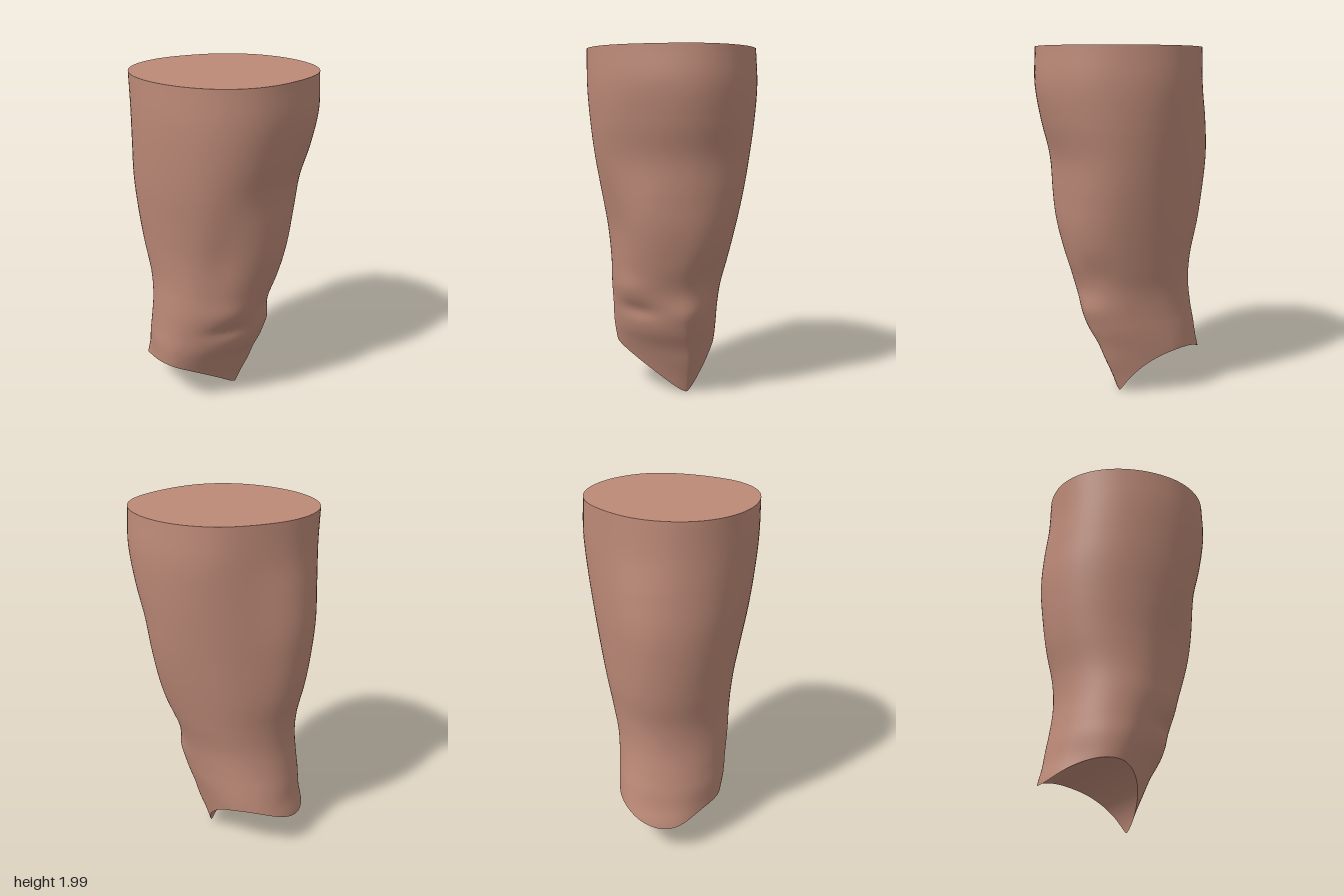
import * as THREE from 'three';
import { mergeVertices } from 'three/addons/utils/BufferGeometryUtils.js';

// Cross-sections: y, left x, right x, front z, back z, x of front/back, z of left end, z of right end, roundness of +x side
const SECTIONS = [
  [-0.05, -0.50, 0.035, 0.28, -0.28, -0.24, 0.00, -0.08, 1.4],
  [0.1, -0.493, 0.095, 0.285, -0.28, -0.23, 0.00, -0.08, 1.4],
  [0.2, -0.486, 0.14, 0.295, -0.28, -0.21, 0.00, -0.08, 1.45],
  [0.3, -0.462, 0.178, 0.315, -0.288, -0.19, 0.00, -0.07, 1.55],
  [0.4, -0.45, 0.225, 0.33, -0.29, -0.17, 0.00, -0.05, 1.7],
  [0.5, -0.435, 0.25, 0.335, -0.29, -0.14, 0.00, -0.03, 1.8],
  [0.65, -0.42, 0.27, 0.345, -0.30, -0.10, 0.00, -0.02, 2],
  [0.8, -0.43, 0.32, 0.35, -0.33, -0.06, 0.00, -0.03, 2],
  [1.0, -0.475, 0.365, 0.37, -0.37, -0.03, -0.01, -0.04, 2],
  [1.2, -0.505, 0.39, 0.405, -0.405, 0.00, -0.02, -0.04, 2],
  [1.4, -0.52, 0.415, 0.44, -0.435, 0.02, -0.03, -0.05, 2],
  [1.6, -0.51, 0.475, 0.465, -0.46, 0.03, -0.02, -0.05, 2],
  [1.8, -0.495, 0.515, 0.48, -0.475, 0.03, 0.02, -0.05, 2],
  [2.0, -0.495, 0.51, 0.48, -0.466, 0.03, 0.05, -0.06, 2],
];
// Soft swellings and hollows: angle (0 = left side, PI/2 = front), y, angular width, height, depth
const BUMPS = [
  [0.8, 0.66, 0.4, 0.07, 0.012], // fold above the knee
  [0.75, 0.53, 0.35, 0.045, -0.018],
  [-0.25, 0.52, 0.45, 0.07, 0.015], // knee bulge
  [-0.5, 0.75, 0.35, 0.1, -0.015],
  [0.5, 1.05, 0.35, 0.25, 0.018], // muscle edge
  [1.15, 1.05, 0.25, 0.25, -0.012],
  [0.45, 1.85, 0.35, 0.4, -0.015],
  [-0.8, 1.25, 0.45, 0.4, 0.024],
  [-2.35, 1.55, 0.42, 0.6, -0.04], // flattened back
  [-2.35, 0.2, 0.45, 0.2, 0.012],
  [2.4, 1.65, 0.5, 0.4, 0.01],
  [2.35, 0.25, 0.4, 0.2, -0.012],
];
const CUT = { x: -0.26, y: -0.04, r: 0.32 }; // round cut under the joint, running along z
const COLS = 96, ROWS = 72;

const sections = new THREE.CubicInterpolant(
  SECTIONS.map((s) => s[0]), SECTIONS.flatMap((s) => s.slice(1)), 8, new Float32Array(8));

// Point of the skin at an angle around the limb and a height
function skin(angle, y) {
  const [xl, xr, zf, zb, xc, zl, zr, p] = sections.evaluate(y);
  const c = Math.cos(angle), s = Math.sin(angle);
  const e = c > 0 ? 2 / p : 1;
  const u = Math.pow(Math.abs(c), e), w = Math.pow(Math.abs(s), e);
  const mid = (zl + zr) / 2 + c * (zr - zl) / 2;
  let x = c > 0 ? xc + (xr - xc) * u : xc + (xl - xc) * u;
  let z = mid + (s > 0 ? zf - mid : mid - zb) * w * Math.sign(s);
  for (const [a, h, da, dy, depth] of BUMPS) {
    const d = Math.atan2(Math.sin(angle - a), Math.cos(angle - a));
    const k = depth * Math.exp(-((d / da) ** 2) - ((y - h) / dy) ** 2);
    x += c * k;
    z += s * k;
  }
  return new THREE.Vector3(x, y, z);
}

const cutHeight = (x) =>
  Math.max(0, CUT.y + Math.sqrt(Math.max(0, CUT.r ** 2 - (x - CUT.x) ** 2)));

// Height at which a column of skin meets the round cut
function lowerEnd(angle) {
  let low = -0.04, high = 0.4;
  for (let i = 0; i < 24; i++) {
    const y = (low + high) / 2;
    const inside = Math.hypot(skin(angle, y).x - CUT.x, y - CUT.y) < CUT.r;
    if (inside) low = y; else high = y;
  }
  return Math.max(0, high);
}

// Grid surface from a point rule, welded and smoothed
function surface(rule, nu, nv) {
  const positions = [], index = [];
  for (let i = 0; i <= nu; i++)
    for (let j = 0; j <= nv; j++) positions.push(...rule(i / nu, j / nv).toArray());
  for (let i = 0; i < nu; i++)
    for (let j = 0; j < nv; j++) {
      const a = i * (nv + 1) + j, b = a + nv + 1;
      index.push(a, a + 1, b, b, a + 1, b + 1);
    }
  let g = new THREE.BufferGeometry();
  g.setAttribute('position', new THREE.Float32BufferAttribute(positions, 3));
  g.setIndex(index);
  g = mergeVertices(g, 1e-5);
  g.computeVertexNormals();
  return g;
}

export function createModel() {
  const group = new THREE.Group();
  group.name = 'upperLeg';
  const material = new THREE.MeshStandardMaterial({ color: 0xbd8a78, side: THREE.DoubleSide });
  const add = (name, geometry) => {
    const mesh = new THREE.Mesh(geometry, material);
    mesh.name = name;
    group.add(mesh);
  };

  // Thigh and knee
  add('thighSkin', surface((u, v) => {
    const angle = u * Math.PI * 2;
    return skin(angle, THREE.MathUtils.lerp(lowerEnd(angle), 2, v));
  }, COLS, ROWS));

  // Flat top, spanned from front to back
  add('topCap', surface((u, v) => {
    const angle = u * Math.PI;
    return skin(angle, 2).lerp(skin(-angle, 2), 1 - v);
  }, COLS / 2, 8));

  // Hollow joint socket, spanned from front to back along the round cut
  add('kneeSocket', surface((u, v) => {
    const angle = u * Math.PI;
    const front = skin(angle, lowerEnd(angle)), back = skin(-angle, lowerEnd(-angle));
    const point = front.lerp(back, v);
    if (v > 0 && v < 1) point.y = cutHeight(point.x);
    return point;
  }, COLS / 2, 8));

  return group;
}
